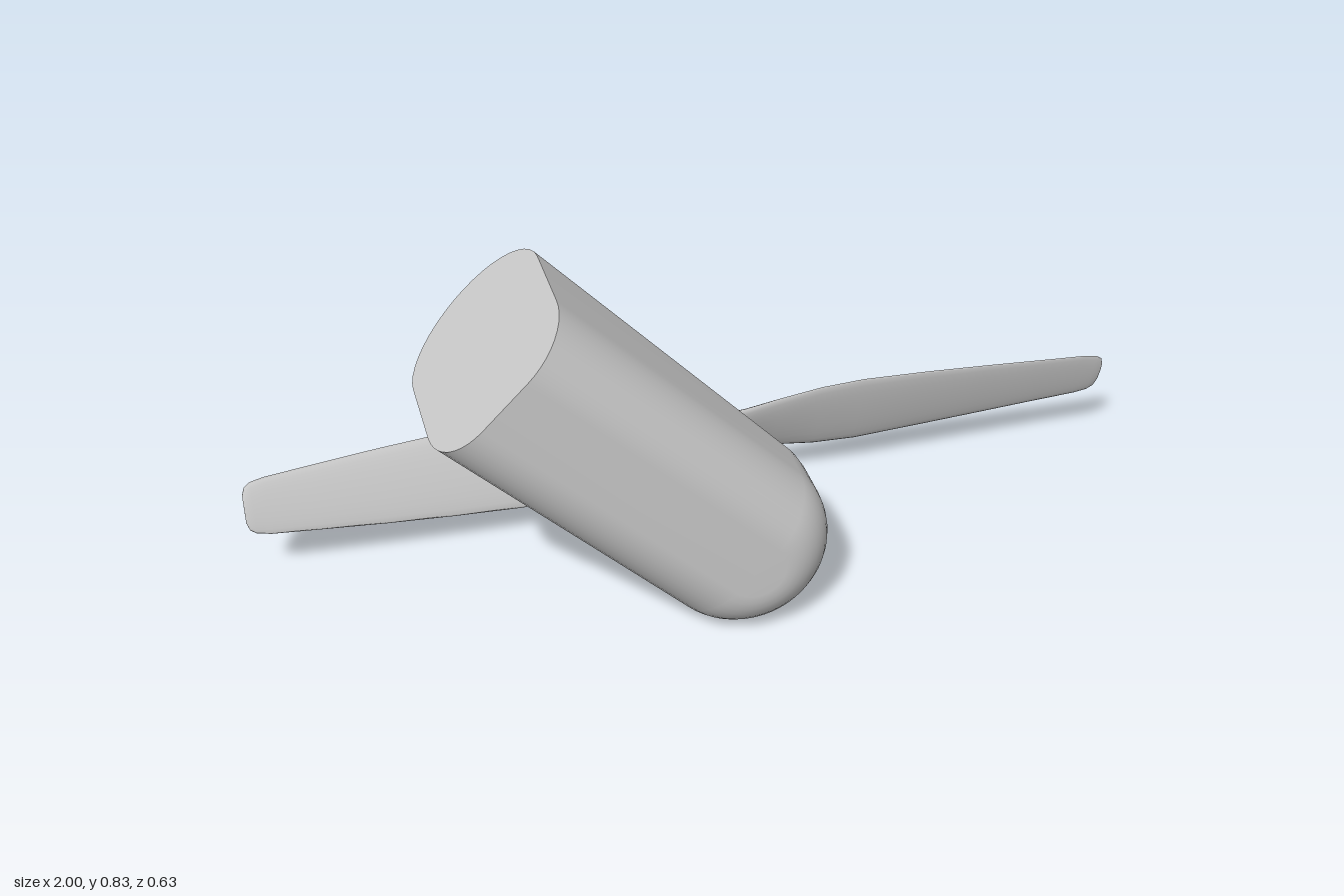
import * as THREE from 'three';
import { toCreasedNormals } from 'three/addons/utils/BufferGeometryUtils.js';

const material = new THREE.MeshStandardMaterial({ color: 0xcccccc });

function mesh(name, geometry) {
  const m = new THREE.Mesh(geometry, material);
  m.name = name;
  return m;
}

// Skin through equal-length closed loops of [x, y, z], with flat caps at both ends.
function loft(loops) {
  const n = loops[0].length;
  const pos = loops.flat(2);
  const index = [];
  for (let s = 0; s < loops.length - 1; s++) {
    for (let i = 0; i < n; i++) {
      const j = (i + 1) % n;
      const a = s * n + i, b = s * n + j;
      index.push(a, a + n, b + n, a, b + n, b);
    }
  }
  [loops[0], loops[loops.length - 1]].forEach((loop, end) => {
    const first = pos.length / 3;
    pos.push(...loop.flat());
    const mid = [0, 1, 2].map((k) => loop.reduce((sum, p) => sum + p[k], 0) / n);
    pos.push(...mid);
    for (let i = 0; i < n; i++) {
      const a = first + i, b = first + ((i + 1) % n);
      if (end) index.push(first + n, b, a);
      else index.push(first + n, a, b);
    }
  });
  const g = new THREE.BufferGeometry();
  g.setAttribute('position', new THREE.Float32BufferAttribute(pos, 3));
  g.setIndex(index);
  g.computeVertexNormals();
  return g;
}

// Solid of revolution about z; the profile [radius, z] runs from back to front.
function turned(profile, start = 0, sweep = Math.PI * 2, segments = 32) {
  const pts = profile.map(([r, z]) => new THREE.Vector2(r, z));
  return new THREE.LatheGeometry(pts, segments, start, sweep).rotateX(Math.PI / 2);
}

// Half outline of the arm: round back, straight side, softly cornered flat front.
const HALF_WIDTH = 0.19;
function armProfile(backZ, backCorner) {
  const pts = [];
  const steps = 10;
  for (let i = 0; i <= steps; i++) {
    const a = (i / steps) * Math.PI / 2;
    pts.push([HALF_WIDTH * Math.sin(a), backZ + backCorner * (1 - Math.cos(a))]);
  }
  for (let i = 0; i <= steps; i++) {
    const a = (i / steps) * Math.PI / 2;
    pts.push([0.065 + 0.125 * Math.cos(a), 0.18 + 0.135 * Math.sin(a)]);
  }
  pts.push([0, 0.315]);
  return pts;
}

function armLoop(profile, y) {
  const right = profile.map(([x, z]) => [x, y, z]);
  const left = profile.slice(1, -1).reverse().map(([x, z]) => [-x, y, z]);
  return [...right, ...left];
}

function makeArm() {
  const arm = new THREE.Group();
  arm.name = 'arm';
  const base = armProfile(-0.055, 0.155);
  const top = armProfile(-0.135, 0.135);
  arm.add(mesh('armBody', loft([armLoop(base, 0), armLoop(top, 0.71)])));
  arm.add(mesh('armRoundedEnd', turned(base, -Math.PI / 2, Math.PI)));
  arm.rotation.z = Math.PI / 4;
  return arm;
}

// Stations: [x, half chord, front edge z, back edge z, half thickness]
const BLADE = [
  [0.03, 0.06, -0.176, -0.234, 0.016],
  [0.12, 0.068, -0.174, -0.234, 0.015],
  [0.2, 0.083, -0.172, -0.233, 0.013],
  [0.3, 0.096, -0.172, -0.232, 0.011],
  [0.4, 0.1, -0.172, -0.231, 0.01],
  [0.55, 0.093, -0.173, -0.23, 0.009],
  [0.7, 0.083, -0.174, -0.226, 0.008],
  [0.85, 0.071, -0.176, -0.22, 0.007],
  [0.95, 0.063, -0.178, -0.215, 0.006],
  [0.98, 0.057, -0.179, -0.213, 0.006],
  [0.994, 0.047, -0.181, -0.21, 0.005],
  [1.0, 0.03, -0.186, -0.206, 0.004],
];

function makeBladeGeometry() {
  const n = 20;
  return loft(BLADE.map(([x, half, front, back, thick]) =>
    Array.from({ length: n }, (_, i) => {
      const a = (i / n) * Math.PI * 2;
      const u = Math.cos(a);
      const z = (front + back) / 2 + u * (front - back) / 2 - thick * Math.sin(a);
      return [x, half * u, z];
    })));
}

function makePropeller() {
  const propeller = new THREE.Group();
  propeller.name = 'propeller';
  const blade = makeBladeGeometry();
  for (const side of [0, 1]) {
    const b = mesh(side ? 'rightBlade' : 'leftBlade', blade);
    b.rotation.z = side * Math.PI;
    propeller.add(b);
  }
  // Hub between the blades, with a chamfered rear rim
  const hub = turned([[0, -0.248], [0.082, -0.248], [0.09, -0.24], [0.09, -0.165]]);
  propeller.add(mesh('propellerHub', toCreasedNormals(hub, 0.6)));
  return propeller;
}

export function createModel() {
  const model = new THREE.Group();
  model.name = 'propellerArm';

  const assembly = new THREE.Group();
  assembly.name = 'assembly';
  assembly.position.y = 0.192;
  model.add(assembly);

  assembly.add(makeArm());

  // Motor housing behind the rounded end
  const motor = turned([[0, -0.17], [0.108, -0.17], [0.116, -0.167], [0.122, -0.158], [0.122, 0.03]]);
  assembly.add(mesh('motorHousing', toCreasedNormals(motor, 0.6)));

  assembly.add(makePropeller());

  // Hexagonal nut and shaft tip
  const nut = new THREE.CylinderGeometry(0.068, 0.068, 0.06, 6).rotateX(Math.PI / 2);
  nut.translate(0, 0, -0.273);
  assembly.add(mesh('nut', toCreasedNormals(nut, 0.5)));
  const shaft = turned([[0, -0.315], [0.034, -0.315], [0.034, -0.29]], 0, Math.PI * 2, 24);
  assembly.add(mesh('shaftTip', toCreasedNormals(shaft, 0.6)));

  return model;
}
